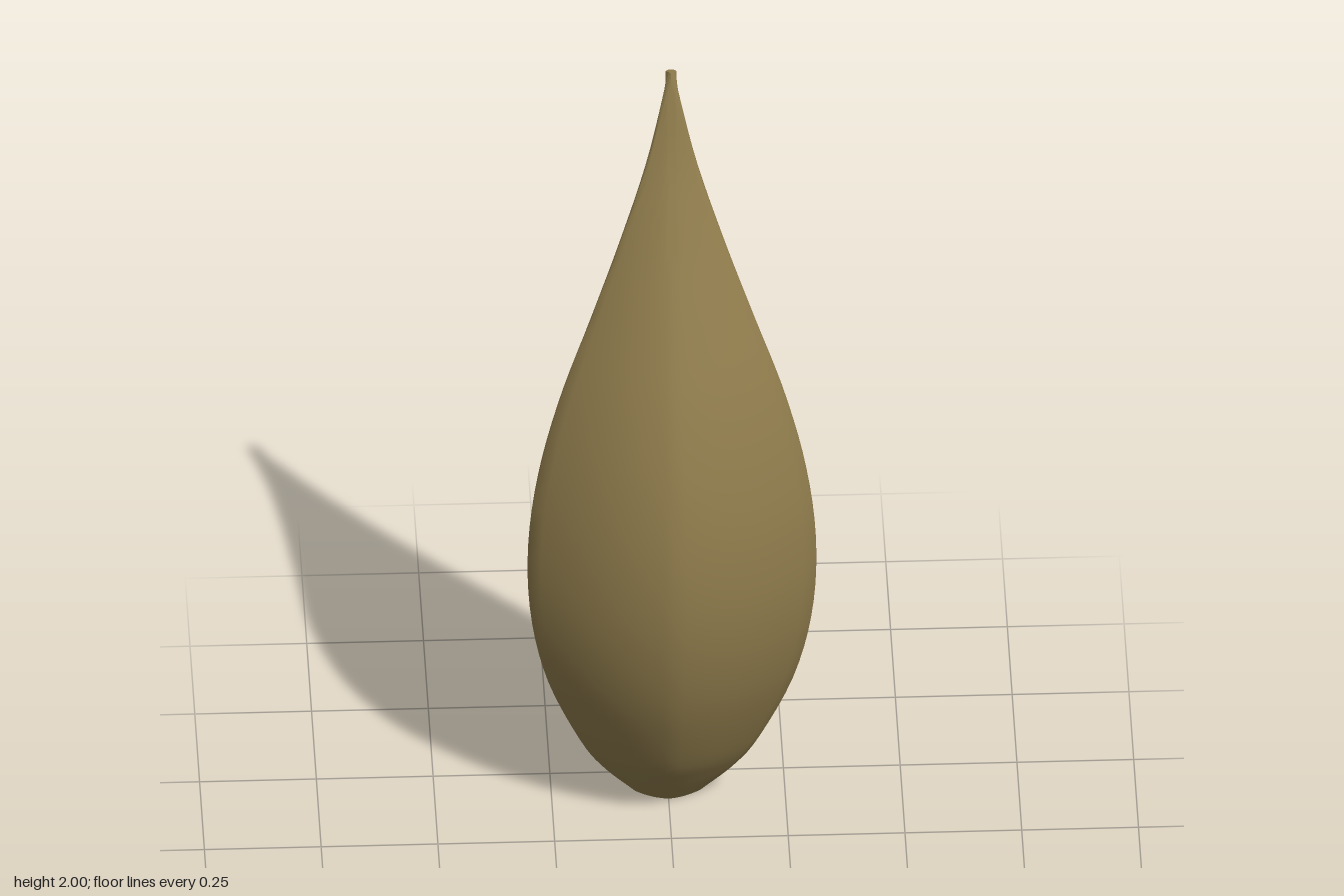
import * as THREE from 'three';
import { toCreasedNormals } from 'three/addons/utils/BufferGeometryUtils.js';

// Stations up the petal: height, half width, z of the keel, z of the side edge
const STATIONS = [
  [0, 0.07, -0.147, -0.178], [0.1, 0.138, -0.065, -0.125], [0.2, 0.19, 0.008, -0.085],
  [0.4, 0.262, 0.108, -0.025], [0.6, 0.3, 0.168, 0.015], [0.8, 0.307, 0.191, 0.035],
  [1.0, 0.285, 0.184, 0.044], [1.2, 0.238, 0.154, 0.045], [1.4, 0.172, 0.108, 0.038],
  [1.6, 0.106, 0.058, 0.024], [1.8, 0.046, 0.013, 0.004], [2.0, 0.004, -0.014, -0.018],
];
const ROWS = 48, N = 24, R = 6, RING = 2 * N + 2 * R;

function petalGeometry() {
  const track = (col) => new THREE.CatmullRomCurve3(
    STATIONS.map((s) => new THREE.Vector3(s[1], s[0], s[col])), false, 'catmullrom');
  const keel = track(2), edge = track(3);

  // Outer surface point and its unit normal
  function outer(u, t) {
    const k = keel.getPoint(t), e = edge.getPoint(t);
    const t0 = Math.max(0, t - 0.005), t1 = Math.min(1, t + 0.005);
    const dk = keel.getPoint(t1).sub(keel.getPoint(t0)).divideScalar(t1 - t0);
    const de = edge.getPoint(t1).sub(edge.getPoint(t0)).divideScalar(t1 - t0);
    const a = Math.abs(u), f = 0.2 * a + 0.8 * a * a;
    const zu = (e.z - k.z) * Math.sign(u) * (0.2 + 1.6 * a);
    const zt = dk.z + (de.z - dk.z) * f;
    return {
      p: new THREE.Vector3(u * k.x, k.y, k.z + (e.z - k.z) * f),
      n: new THREE.Vector3(-zu * dk.y, zu * u * dk.x - k.x * zt, k.x * dk.y).normalize(),
    };
  }

  // Inner surface: the outer one pushed in by the shell thickness
  function inner(u, t) {
    const { p, n } = outer(u, t);
    const thick = 0.028 - 0.01 * t * t;
    const q = p.clone().addScaledVector(n, -thick);
    q.x = Math.sign(u) * Math.max(Math.abs(q.x), 0.45 * Math.abs(p.x));
    return q;
  }

  // Rounded lip between outer and inner surface on one side
  function lip(side, t, s) {
    const o = outer(side, t).p, i = inner(side, t);
    const mid = o.clone().add(i).multiplyScalar(0.5);
    const half = o.clone().sub(mid);
    const out = new THREE.Vector3(half.z * side, 0, -Math.abs(half.x)).multiplyScalar(0.5);
    const a = Math.PI * s / R;
    return mid.addScaledVector(half, Math.cos(a)).addScaledVector(out, Math.sin(a));
  }

  const pos = [], index = [];
  for (let r = 0; r <= ROWS; r++) {
    const t = r / ROWS, ring = [];
    for (let j = 0; j <= N; j++) ring.push(outer(2 * j / N - 1, t).p);
    for (let s = 1; s < R; s++) ring.push(lip(1, t, s));
    for (let j = N; j >= 0; j--) ring.push(inner(2 * j / N - 1, t));
    for (let s = R - 1; s > 0; s--) ring.push(lip(-1, t, s));
    ring.forEach((v) => pos.push(v.x, v.y, v.z));
  }
  const quad = (a, b, c, d) => index.push(a, b, c, a, c, d);
  for (let r = 0; r < ROWS; r++) {
    for (let j = 0; j < RING; j++) {
      const a = r * RING + j, b = r * RING + (j + 1) % RING;
      quad(a, b, b + RING, a + RING);
    }
  }
  // Close the cut base and the tip
  const wrap = (j) => (j + RING) % RING, across = (j) => wrap(2 * N + R - j);
  const top = ROWS * RING;
  for (let j = -R / 2; j < N + R / 2; j++) {
    const c = [wrap(j), wrap(j + 1), across(j + 1), across(j)];
    quad(c[3], c[2], c[1], c[0]);
    quad(...c.map((i) => i + top));
  }
  const g = new THREE.BufferGeometry();
  g.setAttribute('position', new THREE.Float32BufferAttribute(pos, 3));
  g.setIndex(index);
  return toCreasedNormals(g, 0.75);
}

export function createModel() {
  const group = new THREE.Group();
  group.name = 'petal';
  const olive = new THREE.MeshStandardMaterial({ color: 0x94804f });
  olive.name = 'olive tan';
  const shell = new THREE.Mesh(petalGeometry(), olive);
  shell.name = 'petalShell';
  group.add(shell);
  return group;
}
